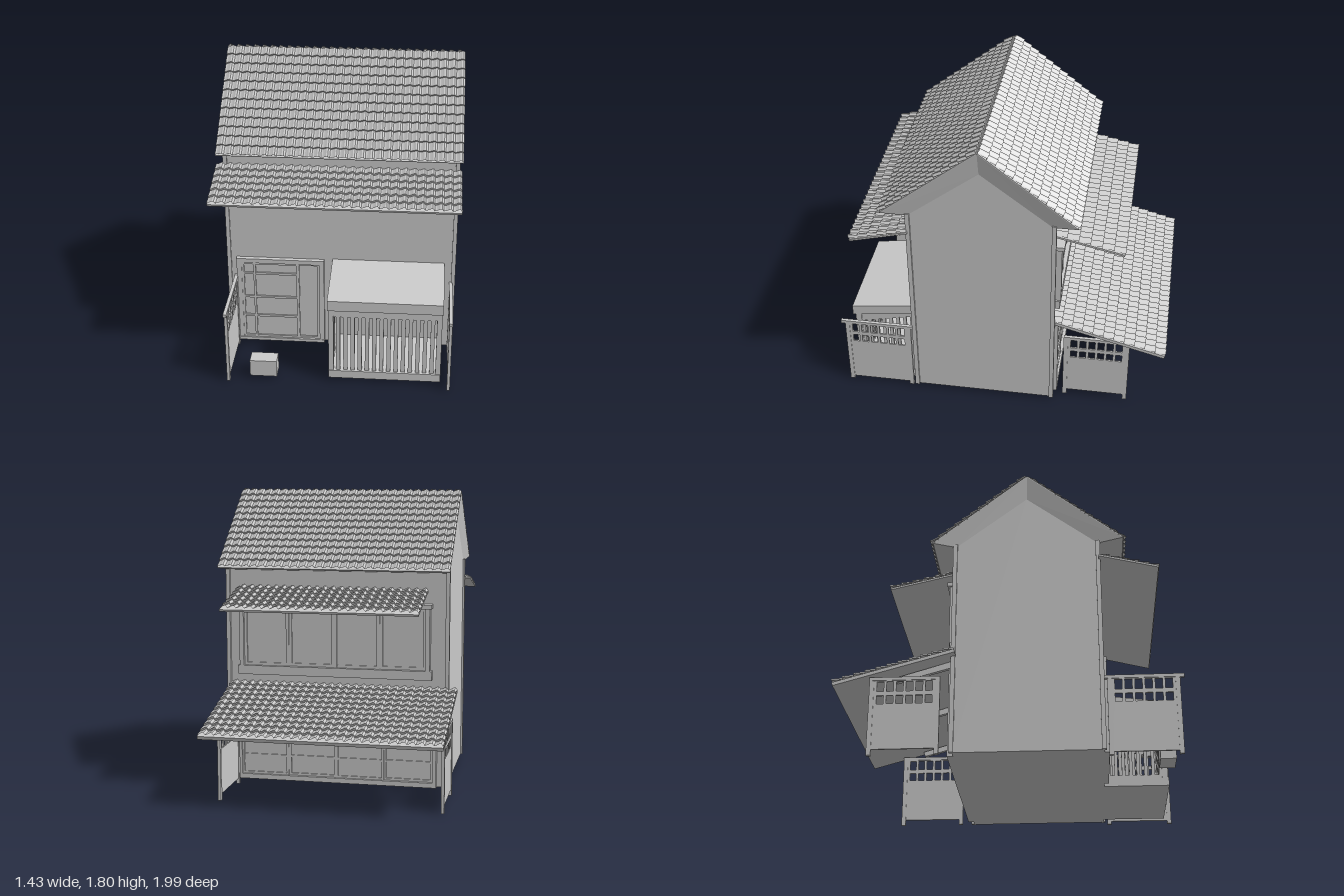
import * as THREE from 'three';

const mat = new THREE.MeshStandardMaterial({ color: 0xcccccc, flatShading: true });
const thin = new THREE.MeshStandardMaterial({ color: 0xcccccc, flatShading: true, side: THREE.DoubleSide });

function add(parent, name, geo, material = mat) {
  const m = new THREE.Mesh(geo, material);
  m.name = name;
  parent.add(m);
  return m;
}

function group(parent, name) {
  const g = new THREE.Group();
  g.name = name;
  parent.add(g);
  return g;
}

// Box given by its limits on each axis
function box(parent, name, x0, x1, y0, y1, z0, z1) {
  const g = new THREE.BoxGeometry(x1 - x0, y1 - y0, Math.abs(z1 - z0));
  g.translate((x0 + x1) / 2, (y0 + y1) / 2, (z0 + z1) / 2);
  return add(parent, name, g);
}

// Outline in (z, y), extruded from x0 to x1, with optional rectangular holes
function profile(parent, name, pts, x0, x1, holes = []) {
  const s = new THREE.Shape(pts.map(p => new THREE.Vector2(...p)));
  for (const [a, b, c, d] of holes) {
    s.holes.push(new THREE.Path([[a, c], [a, d], [b, d], [b, c]].map(p => new THREE.Vector2(...p))));
  }
  const g = new THREE.ExtrudeGeometry(s, { depth: x1 - x0, bevelEnabled: false });
  g.rotateY(-Math.PI / 2).translate(x1, 0, 0);
  return add(parent, name, g);
}

// Sloped board carrying overlapping rows of rolled tiles; the line (zT,yT)-(zB,yB) is the board's underside
function tiledSlope(parent, name, x0, x1, zT, yT, zB, yB, rows, board) {
  const g = group(parent, name);
  const len = Math.hypot(zB - zT, yB - yT), dir = Math.sign(zB - zT);
  const nz = (yT - yB) / len * dir, ny = Math.abs(zB - zT) / len;
  const off = (z, y, h) => [z + nz * h, y + ny * h];
  profile(g, 'roofBoard', [[zT, yT], [zB, yB], off(zB, yB, board), off(zT, yT, board)], x0, x1);
  const roll = [0, 0.002, 0.007, 0.013, 0.014];
  const w = x1 - x0, cols = Math.round(w / 0.05), n = cols * 5;
  const geo = new THREE.PlaneGeometry(1, 1, n, rows * 2 - 1);
  const pos = geo.attributes.position;
  for (let i = 0; i < pos.count; i++) {
    const a = i % (n + 1), j = Math.floor(i / (n + 1)), low = j % 2;
    const v = (Math.floor(j / 2) + low) / rows;
    const h = board + roll[a % 5] + low * 0.012;
    const [z, y] = off(zT + (zB - zT) * v, yT + (yB - yT) * v, h);
    pos.setXYZ(i, dir > 0 ? x0 + w * a / n : x1 - w * a / n, y, z);
  }
  geo.computeVertexNormals();
  add(g, 'tiles', geo, thin);
}

// Framed panel with bars, standing out from a wall at z in direction d
function latticePanel(parent, name, x0, x1, y0, y1, z, d, xs, ys, bar = 0.014) {
  const g = group(parent, name);
  box(g, 'panel', x0, x1, y0, y1, z, z + d * 0.006);
  for (const x of [x0 + bar / 2, ...xs, x1 - bar / 2]) box(g, 'stile', x - bar / 2, x + bar / 2, y0, y1, z, z + d * 0.016);
  for (const y of [y0 + bar / 2, ...ys, y1 - bar / 2]) box(g, 'rail', x0, x1, y - bar / 2, y + bar / 2, z, z + d * 0.014);
}

// Wing fence with two rows of openings below its top rail
function wingFence(parent, name, x, z0, z1, y0, top, railOver) {
  const g = group(parent, name), holes = [], n = 6, a = z0 + 0.035, step = (z1 - z0 - 0.07) / n;
  for (let i = 0; i < n; i++) {
    for (const [c, d] of [[top - 0.15, top - 0.1], [top - 0.075, top - 0.015]]) {
      holes.push([a + step * i + 0.008, a + step * (i + 1) - 0.008, c, d]);
    }
  }
  profile(g, 'fencePanel', [[z0, y0], [z1, y0], [z1, top], [z0, top]], x - 0.005, x + 0.005, holes);
  box(g, 'topRail', x - 0.01, x + 0.01, top - 0.01, top + 0.01, z0 - railOver, z1 + railOver);
  for (const z of [z0 + 0.013, z1 - 0.013]) box(g, 'fencePost', x - 0.009, x + 0.009, 0, top, z - 0.013, z + 0.013);
}

export function createModel() {
  const house = new THREE.Group();
  house.name = 'townhouse';
  const L = -0.66, R = 0.69, F = 0.54, B = -0.3;

  // Walls with gables and corner posts
  profile(house, 'walls', [[B, 0.02], [F, 0.02], [F, 1.34], [0.12, 1.64], [B, 1.34]], L, R);
  for (const x of [L, R]) {
    for (const z of [F - 0.002, B - 0.006]) box(house, 'cornerPost', x - 0.012, x + 0.012, 0.02, 1.335, z - 0.013, z + 0.013);
  }

  // Main roof: two tiled slopes, then slanted soffits reaching back to the walls
  tiledSlope(house, 'frontMainRoof', -0.685, 0.715, 0.123, 1.785, 0.69, 1.338, 12, 0.006);
  tiledSlope(house, 'rearMainRoof', -0.685, 0.715, 0.123, 1.785, -0.44, 1.338, 12, 0.006);
  const pts = [];
  for (const [xo, xi] of [[-0.685, L], [0.715, R]]) {
    pts.push(xo, 1.34, 0.69, xo, 1.785, 0.123, xo, 1.34, -0.44);
    pts.push(xi, 1.32, F, xi, 1.64, 0.12, xi, 1.32, B);
  }
  const idx = [];
  const quad = (a, b, c, d) => idx.push(a, b, c, a, c, d);
  quad(0, 3, 4, 1); quad(1, 4, 5, 2);
  quad(6, 7, 10, 9); quad(7, 8, 11, 10);
  quad(0, 6, 9, 3); quad(2, 5, 11, 8);
  const soffit = new THREE.BufferGeometry();
  soffit.setAttribute('position', new THREE.Float32BufferAttribute(pts, 3));
  soffit.setIndex(idx);
  soffit.computeVertexNormals();
  add(house, 'roofSoffit', soffit, thin);

  // Lower eaves and the rear porch roof
  tiledSlope(house, 'frontEave', -0.71, 0.715, 0.54, 1.205, 0.885, 1.117, 6, 0.012);
  tiledSlope(house, 'rearEave', -0.54, 0.625, -0.3, 1.205, -0.705, 1.112, 6, 0.012);
  tiledSlope(house, 'porchRoof', -0.72, 0.68, -0.29, 0.605, -0.978, 0.415, 11, 0.02);
  for (const x of [-0.6, 0.02, 0.62]) {
    profile(house, 'porchBracket', [[B, 0.56], [-0.63, 0.47], [-0.64, 0.5], [B, 0.6]], x - 0.012, x + 0.012);
  }

  // Front entrance: frame and two sliding doors
  const door = group(house, 'entrance');
  box(door, 'doorFrameLeft', -0.115, -0.085, 0.02, 0.6, F, F + 0.025);
  box(door, 'doorFrameRight', -0.615, -0.585, 0.02, 0.6, F, F + 0.025);
  box(door, 'doorLintel', -0.615, -0.085, 0.572, 0.6, F, F + 0.027);
  box(door, 'doorSill', -0.615, -0.085, 0.02, 0.04, F, F + 0.027);
  latticePanel(door, 'slidingDoor', -0.585, -0.24, 0.04, 0.572, F + 0.004, 1, [-0.508], [0.195, 0.33, 0.495]);
  latticePanel(door, 'rearSlidingDoor', -0.25, -0.115, 0.04, 0.572, F, 1, [], []);
  box(house, 'stepStone', -0.495, -0.335, 0.02, 0.125, 0.85, 0.94);

  // Projecting slatted bay with a sloping lid
  const bay = group(house, 'slattedBay');
  profile(bay, 'bayLid', [[F, 0.605], [0.935, 0.555], [0.935, 0.49], [F, 0.54]], -0.035, 0.635);
  box(bay, 'bayFloor', -0.03, 0.63, 0.02, 0.07, F, 0.925);
  box(bay, 'bayHeader', -0.02, 0.62, 0.44, 0.5, 0.89, 0.918);
  for (const x of [-0.015, 0.615]) {
    box(bay, 'bayPost', x - 0.015, x + 0.015, 0.05, 0.5, 0.885, 0.92);
    const holes = [];
    for (let i = 0; i < 7; i++) {
      const z = 0.58 + i * 0.044;
      holes.push([z, z + 0.024, 0.09, 0.5 - i * 0.01]);
    }
    profile(bay, 'baySide', [[F, 0.05], [0.9, 0.05], [0.9, 0.5], [F, 0.545]], x - 0.008, x + 0.008, holes);
  }
  for (let i = 0; i < 14; i++) {
    const x = 0.027 + i * 0.0423;
    box(bay, 'baySlat', x - 0.012, x + 0.012, 0.05, 0.46, 0.89, 0.912);
  }

  // Rear upper window with four panes
  const win = group(house, 'rearWindow');
  box(win, 'windowHead', -0.57, 0.625, 1.11, 1.135, B, B - 0.06);
  box(win, 'windowSill', -0.57, 0.625, 0.68, 0.735, B, B - 0.04);
  for (const x of [-0.545, 0.6]) box(win, 'windowPost', x - 0.013, x + 0.013, 0.73, 1.12, B, B - 0.045);
  for (let i = 0; i < 4; i++) {
    const x = -0.532 + i * 0.28;
    latticePanel(win, 'windowPane', x, x + 0.28, 0.735, 1.11, B - (i % 2) * 0.008, -1, [], [], 0.018);
  }

  // Rear ground-floor sliding doors
  const back = group(house, 'rearDoors');
  box(back, 'rearLintel', -0.6, 0.63, 0.53, 0.555, B, B - 0.035);
  box(back, 'rearSill', -0.6, 0.63, 0.02, 0.05, B, B - 0.035);
  for (const x of [-0.59, 0.62]) box(back, 'rearPost', x - 0.012, x + 0.012, 0.02, 0.55, B, B - 0.035);
  for (let i = 0; i < 4; i++) {
    const x = -0.578 + i * 0.297;
    latticePanel(back, 'rearDoor', x, x + 0.297, 0.05, 0.53, B - (i % 2) * 0.008, -1, [], [0.17, 0.29, 0.41]);
  }

  // Wing fences on both sides, front and rear
  for (const x of [-0.62, 0.678]) wingFence(house, 'frontWingFence', x, 0.565, 0.975, 0.02, 0.467, 0.025);
  for (const x of [-0.695, 0.62]) wingFence(house, 'rearWingFence', x, -0.77, -0.37, 0.035, 0.455, 0);

  return house;
}
